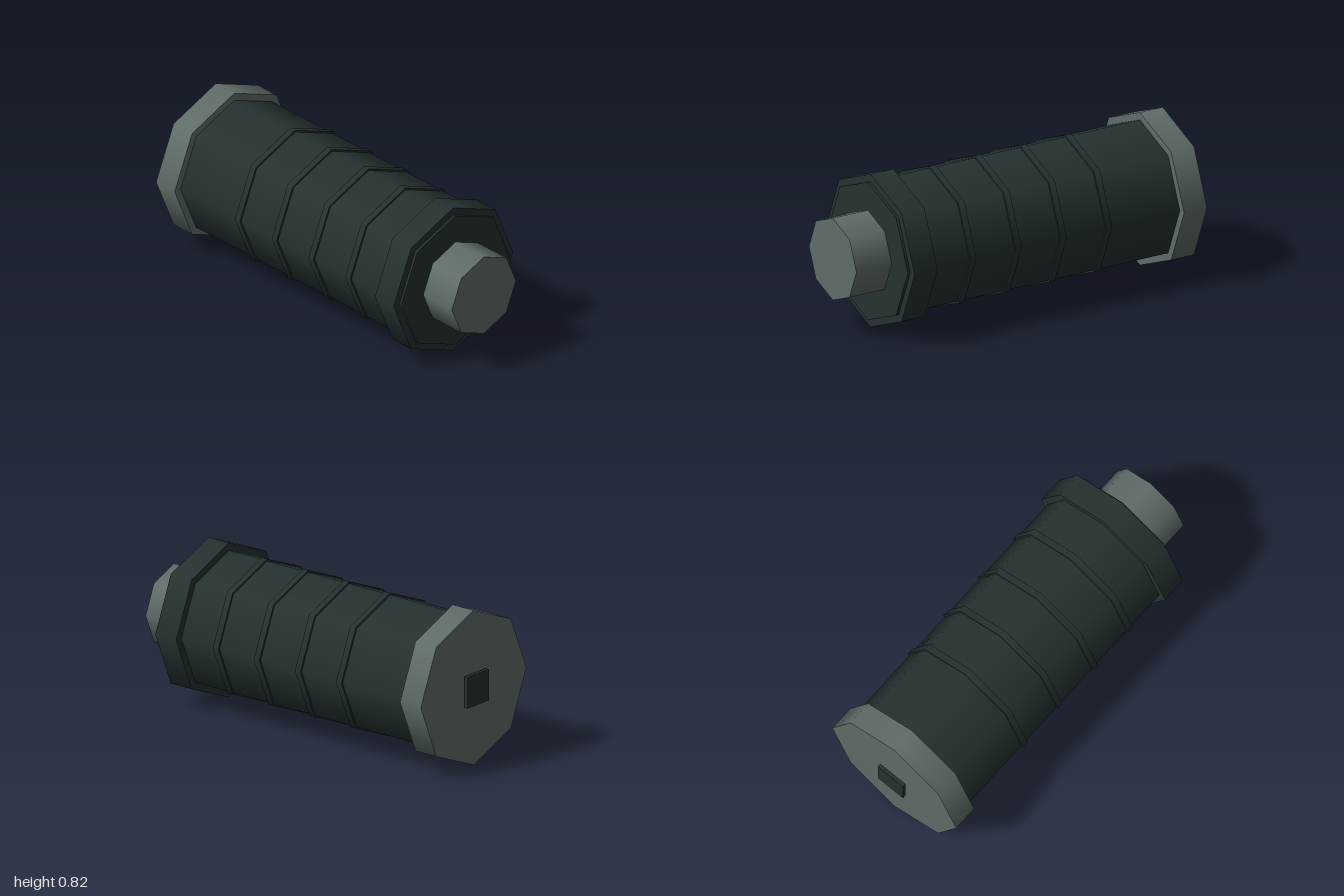
import * as THREE from 'three';

export function createModel() {
  const model = new THREE.Group();
  const dark = new THREE.MeshStandardMaterial({ name: 'darkCasing', color: 0x253231 });
  const grey = new THREE.MeshStandardMaterial({ name: 'greyMetal', color: 0x5f6d69 });
  const axisY = 0.41;

  function add(name, geometry, material, z) {
    const mesh = new THREE.Mesh(geometry, material);
    mesh.name = name;
    mesh.position.set(0, axisY, z);
    model.add(mesh);
  }

  // Eight-sided drum lying along z, with a corner at the top
  function drum(name, radius, zBack, zFront, material) {
    const geometry = new THREE.CylinderGeometry(radius, radius, zFront - zBack, 8);
    geometry.rotateX(Math.PI / 2);
    add(name, geometry, material, (zBack + zFront) / 2);
  }

  // Main tube, front collar, nozzle and rear cap
  drum('body', 0.37, -0.86, 0.79, dark);
  drum('frontCollar', 0.41, 0.638, 0.775, dark);
  drum('nozzle', 0.22, 0.7, 1, grey);
  drum('rearCap', 0.41, -0.97, -0.833, grey);

  // Grip rings
  [-0.405, -0.135, 0.135, 0.405].forEach((z, i) => {
    drum('gripRing' + (i + 1), 0.38, z - 0.018, z + 0.018, dark);
  });

  // Square plate just behind the rear cap
  add('rearPlate', new THREE.BoxGeometry(0.166, 0.166, 0.02), dark, -0.99);

  return model;
}
